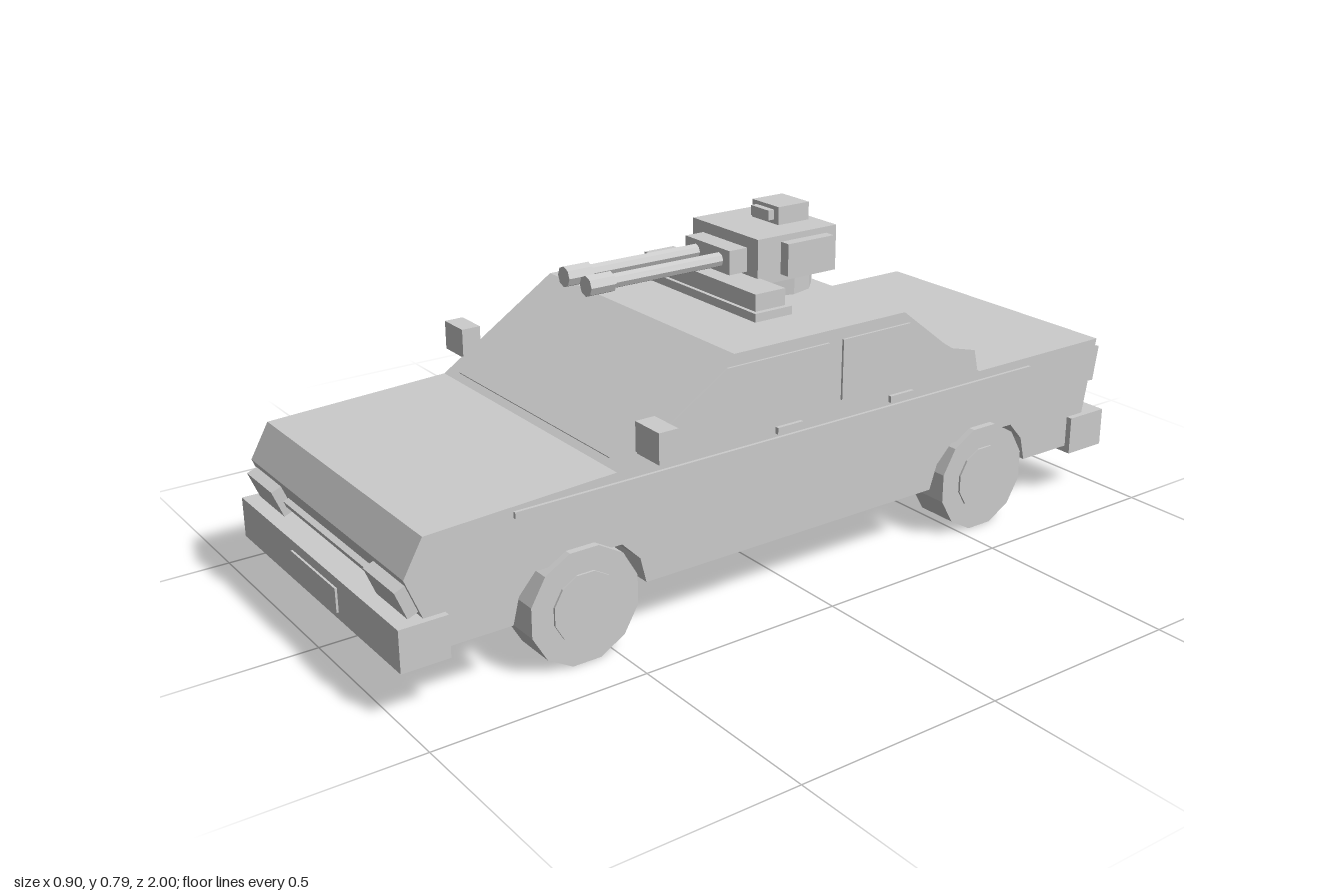
import * as THREE from 'three';

export function createModel() {
  const car = new THREE.Group();
  car.name = 'armedCar';
  const grey = new THREE.MeshStandardMaterial({ color: 0xcccccc, flatShading: true });
  grey.name = 'plain grey';

  function add(name, geometry, x = 0, y = 0, z = 0, rx = 0) {
    const mesh = new THREE.Mesh(geometry, grey);
    mesh.name = name;
    mesh.position.set(x, y, z);
    mesh.rotation.x = rx;
    car.add(mesh);
    return mesh;
  }
  // Box given by its extents: x0..x1, y0..y1, z0..z1
  function span(name, x0, x1, y0, y1, z0, z1) {
    add(name, new THREE.BoxGeometry(x1 - x0, y1 - y0, z1 - z0), (x0 + x1) / 2, (y0 + y1) / 2, (z0 + z1) / 2);
  }
  const box = (name, w, h, d, x, y, z, rx = 0) => add(name, new THREE.BoxGeometry(w, h, d), x, y, z, rx);
  // Side outline in (z, y), extruded across the car
  function slab(name, points, width, x = 0) {
    const shape = new THREE.Shape(points.map(([z, y]) => new THREE.Vector2(z, y)));
    const geometry = new THREE.ExtrudeGeometry(shape, { depth: width, bevelEnabled: false });
    geometry.rotateY(-Math.PI / 2).translate(width / 2, 0, 0);
    add(name, geometry, x);
  }
  // Cylinder lying along x
  function wheelDisc(name, radius, width, x, y, z) {
    const geometry = new THREE.CylinderGeometry(radius, radius, width, 12);
    geometry.rotateY(Math.PI / 12).rotateZ(Math.PI / 2);
    add(name, geometry, x, y, z);
  }
  // Cylinder lying along z
  function rod(name, radius, z0, z1, x, y) {
    const geometry = new THREE.CylinderGeometry(radius, radius, z1 - z0, 8).rotateX(Math.PI / 2);
    add(name, geometry, x, y, (z0 + z1) / 2);
  }

  // Body with open wheel arches
  slab('body', [
    [0.925, 0.38], [0.48, 0.4], [0.18, 0.595], [-0.305, 0.595], [-0.555, 0.4],
    [-0.968, 0.4], [-0.93, 0.19], [-0.88, 0.13],
    [-0.73, 0.13], [-0.715, 0.19], [-0.675, 0.235], [-0.475, 0.235], [-0.43, 0.19], [-0.41, 0.13],
    [0.41, 0.13], [0.425, 0.19], [0.47, 0.235], [0.68, 0.235], [0.72, 0.19], [0.735, 0.13],
    [0.88, 0.13], [0.93, 0.2], [0.97, 0.3],
  ], 0.74);

  // Sloping glass
  box('windscreen', 0.64, 0.32, 0.009, 0, 0.4975, 0.33, -0.994);
  box('rearWindow', 0.64, 0.29, 0.009, 0, 0.4975, -0.4275, 0.918);

  // Bumpers and plates
  span('frontBumper', -0.385, 0.385, 0.113, 0.208, 0.885, 0.995);
  span('rearBumper', -0.385, 0.385, 0.113, 0.208, -0.995, -0.88);
  span('frontPlate', -0.11, 0.11, 0.13, 0.185, 0.992, 1);
  span('rearPlate', -0.11, 0.11, 0.13, 0.185, -1, -0.992);
  box('grilleBar', 0.43, 0.016, 0.016, 0, 0.248, 0.955, 0.38);

  for (const s of [1, -1]) {
    // Lamps
    box('headlight', 0.135, 0.068, 0.03, s * 0.293, 0.248, 0.96, 0.38);
    box('tailLight', 0.14, 0.09, 0.02, s * 0.3, 0.335, -0.962, -0.165);

    // Side glass
    slab('frontSideWindow', [[0.42, 0.425], [0.4, 0.445], [0.2, 0.568], [-0.08, 0.568], [-0.08, 0.425]], 0.009, s * 0.371);
    slab('rearSideWindow', [[-0.12, 0.425], [-0.12, 0.568], [-0.32, 0.568], [-0.455, 0.48], [-0.53, 0.46], [-0.542, 0.41]], 0.009, s * 0.371);

    // Side trim and handles
    box('sideTrim', 0.009, 0.014, 1.45, s * 0.373, 0.372, 0);
    for (const z of [0.03, -0.3]) box('doorHandle', 0.012, 0.016, 0.07, s * 0.373, 0.395, z);

    // Mirrors
    span('mirror', s > 0 ? 0.365 : -0.45, s > 0 ? 0.45 : -0.365, 0.43, 0.5, 0.382, 0.43);

    // Wheels
    for (const z of [0.573, -0.568]) {
      wheelDisc('wheel', 0.134, 0.103, s * 0.335, 0.13, z);
      wheelDisc('hubcap', 0.08, 0.009, s * 0.387, 0.13, z);
    }
  }

  // Roof turret
  span('turretMount', -0.23, 0.23, 0.593, 0.615, -0.09, 0.015);
  span('turretMountTop', -0.217, 0.217, 0.615, 0.655, -0.08, 0.005);
  add('turretPedestal', new THREE.CylinderGeometry(0.115, 0.115, 0.05, 12), 0, 0.618, -0.19);
  span('turretHead', -0.125, 0.125, 0.638, 0.747, -0.305, -0.073);
  span('gunMantlet', -0.085, 0.085, 0.663, 0.72, -0.08, -0.022);
  span('sensorBox', -0.05, 0.05, 0.745, 0.79, -0.283, -0.192);
  span('sensorLens', -0.033, 0.033, 0.757, 0.781, -0.195, -0.175);
  for (const s of [1, -1]) {
    span('turretSidePod', s > 0 ? 0.12 : -0.152, s > 0 ? 0.152 : -0.12, 0.655, 0.732, -0.275, -0.14);
    rod('gunBarrel', 0.017, -0.03, 0.29, s * 0.045, 0.692);
    rod('gunMuzzle', 0.024, 0.275, 0.34, s * 0.045, 0.692);
  }

  return car;
}
